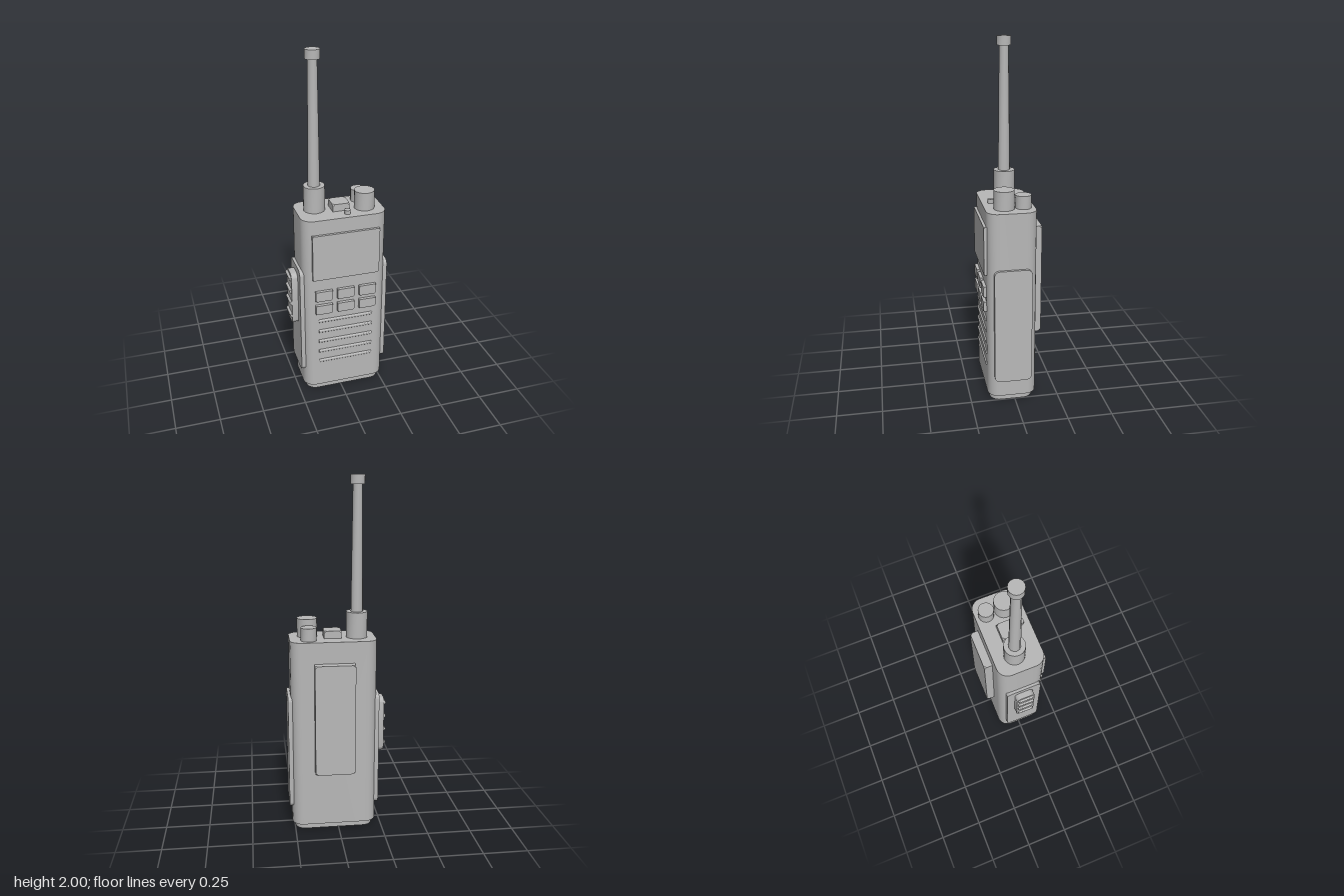
import * as THREE from 'three';
import { toCreasedNormals } from 'three/addons/utils/BufferGeometryUtils.js';
import { ConvexGeometry } from 'three/addons/geometries/ConvexGeometry.js';

export function createModel() {
  const model = new THREE.Group();
  model.name = 'handheldRadio';
  const grey = new THREE.MeshStandardMaterial({ color: 0xb8b8b8 });
  grey.name = 'grey plastic';

  const add = (name, geometry) => {
    const mesh = new THREE.Mesh(geometry, grey);
    mesh.name = name;
    model.add(mesh);
    return mesh;
  };

  // Rounded rectangle centred on the origin, extruded along z from 0 to depth
  const slab = (w, h, r, depth, segments) => {
    const s = new THREE.Shape();
    const x = w / 2 - r, y = h / 2 - r, q = Math.PI / 2;
    s.absarc(x, y, r, 0, q);
    s.absarc(-x, y, r, q, 2 * q);
    s.absarc(-x, -y, r, 2 * q, 3 * q);
    s.absarc(x, -y, r, 3 * q, 4 * q);
    s.closePath();
    const g = new THREE.ExtrudeGeometry(s, { depth, bevelEnabled: false, curveSegments: segments });
    return toCreasedNormals(g, 0.7);
  };

  // Upright rounded block between two heights
  const upright = (name, x0, x1, y0, y1, z0, z1, r) => {
    const g = slab(x1 - x0, z1 - z0, r, y1 - y0, 3).rotateX(-Math.PI / 2);
    add(name, g.translate((x0 + x1) / 2, y0, (z0 + z1) / 2));
  };

  // Rounded plate lying against a side, from x0 to x1
  const sidePlate = (name, x0, x1, y0, y1, z0, z1, r) => {
    const g = slab(z1 - z0, y1 - y0, r, x1 - x0, 4).rotateY(Math.PI / 2);
    add(name, g.translate(x0, (y0 + y1) / 2, (z0 + z1) / 2));
  };

  // Box with its eight corners cut off
  const cutBox = (name, x0, x1, y0, y1, z0, z1, c) => {
    const points = [];
    for (const [x, dx] of [[x0, c], [x1, -c]])
      for (const [y, dy] of [[y0, c], [y1, -c]])
        for (const [z, dz] of [[z0, c], [z1, -c]])
          points.push(
            new THREE.Vector3(x + dx, y, z),
            new THREE.Vector3(x, y + dy, z),
            new THREE.Vector3(x, y, z + dz));
    add(name, new ConvexGeometry(points));
  };

  // Vertical cylinder or cone section
  const post = (name, x, z, y0, y1, r0, r1 = r0, sides = 16) => {
    const g = toCreasedNormals(new THREE.CylinderGeometry(r1, r0, y1 - y0, sides), 0.8);
    add(name, g.translate(x, (y0 + y1) / 2, z));
  };

  // Case
  upright('body', -0.218, 0.265, 0.034, 1.118, -0.124, 0.15, 0.064);
  upright('base', -0.201, 0.248, 0, 0.036, -0.106, 0.137, 0.058);

  // Side grips
  sidePlate('leftGrip', 0.255, 0.281, 0.132, 0.801, -0.091, 0.118, 0.03);
  sidePlate('rightGrip', -0.234, -0.208, 0.132, 0.801, -0.091, 0.118, 0.03);

  // Talk button with ridges
  sidePlate('talkButton', -0.27, -0.225, 0.437, 0.76, -0.044, 0.067, 0.03);
  for (const y of [0.732, 0.652, 0.572, 0.49]) {
    const ridge = toCreasedNormals(new THREE.CylinderGeometry(0.012, 0.012, 0.095, 12), 0.8);
    add('talkButtonRidge', ridge.rotateX(Math.PI / 2).translate(-0.27, y, 0.012));
  }

  // Display, keys and speaker bars
  cutBox('display', -0.17, 0.216, 0.759, 1.034, 0.14, 0.165, 0.008);
  for (const [y0, y1] of [[0.622, 0.684], [0.537, 0.594]])
    for (let i = 0; i < 3; i++) {
      const x = -0.155 + i * 0.128;
      cutBox('key', x, x + 0.099, y0, y1, 0.14, 0.168, 0.008);
    }
  for (let i = 0; i < 5; i++) {
    const bar = toCreasedNormals(new THREE.CylinderGeometry(0.011, 0.011, 0.32, 12), 0.8);
    add('speakerBar', bar.rotateZ(Math.PI / 2).translate(0.024, 0.482 - i * 0.069, 0.147));
  }

  // Belt clip on the back
  cutBox('beltClip', -0.089, 0.136, 0.358, 0.997, -0.172, -0.11, 0.015);

  // Antenna
  const ax = -0.114, az = -0.003;
  post('antennaSocket', ax, az, 1.1, 1.264, 0.06);
  post('antennaShaft', ax, az, 1.25, 1.96, 0.034, 0.026, 12);
  post('antennaTip', ax, az, 1.95, 2, 0.04);

  // Top controls
  post('volumeKnob', 0.161, 0.045, 1.1, 1.223, 0.057);
  post('channelKnob', 0.16, -0.06, 1.1, 1.191, 0.044);
  post('indicatorLight', 0.047, 0.101, 1.1, 1.141, 0.017, 0.017, 12);
  cutBox('topButton', -0.025, 0.072, 1.1, 1.16, -0.035, 0.06, 0.014);

  return model;
}
